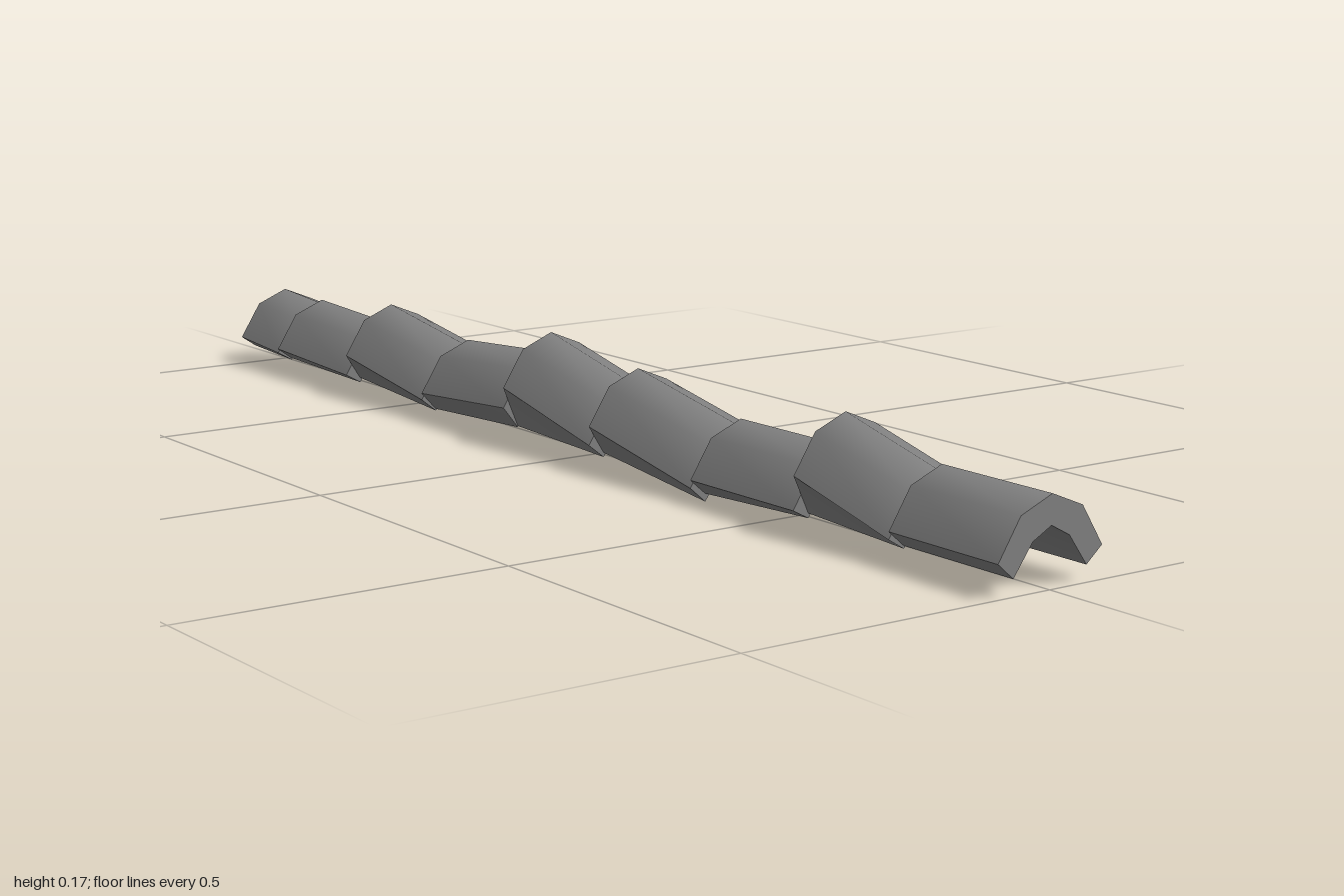
import * as THREE from 'three';

// Half profiles of the arched tile, listed from -x to +x
const OUTER = [[-0.091, 0.047], [-0.054, 0.105], [0, 0.127], [0.054, 0.105], [0.091, 0.047]];
const INNER = [[-0.064, 0.023], [-0.032, 0.067], [0, 0.084], [0.032, 0.067], [0.064, 0.023]];

// Each tile: z front, z back, crest height front/back, underside foot height front/back
const TILES = [
  [1.0, 0.79, 0.127, 0.127, 0.024, 0.024],
  [0.79, 0.59, 0.116, 0.165, 0.020, 0.029],
  [0.59, 0.355, 0.116, 0.115, 0.022, 0.012],
  [0.355, 0.1, 0.103, 0.150, 0.0, 0.027],
  [0.1, -0.135, 0.121, 0.172, 0.020, 0.028],
  [-0.135, -0.38, 0.140, 0.124, 0.026, 0.015],
  [-0.38, -0.625, 0.113, 0.150, 0.012, 0.029],
  [-0.625, -0.865, 0.116, 0.126, 0.021, 0.027],
  [-0.865, -1.0, 0.119, 0.128, 0.024, 0.030],
];

// Profile lifted to a given height and placed at z
const place = (profile, lift, z) => profile.map(([x, y]) => [x, y + lift, z]);

function tileGeometry([zf, zb, topF, topB, footF, footB]) {
  const of = place(OUTER, topF - 0.127, zf), ob = place(OUTER, topB - 0.127, zb);
  const nf = place(INNER, footF - 0.023, zf), nb = place(INNER, footB - 0.023, zb);
  const positions = [], index = [];

  // Surface between two rows; vertices are shared inside a strip so it shades smoothly
  const strip = (a, b) => {
    const s = positions.length / 3, n = a.length;
    [...a, ...b].forEach((p) => positions.push(...p));
    for (let i = 0; i < n - 1; i++) {
      index.push(s + i, s + i + 1, s + n + i + 1, s + i, s + n + i + 1, s + n + i);
    }
  };
  strip(of, ob);                          // arched outside
  strip(nb, nf);                          // hollow underside
  strip([of[4], nf[4]], [ob[4], nb[4]]);  // left foot
  strip([nf[0], of[0]], [nb[0], ob[0]]);  // right foot
  strip(nf, of);                          // front end
  strip(ob, nb);                          // back end

  const geometry = new THREE.BufferGeometry();
  geometry.setAttribute('position', new THREE.Float32BufferAttribute(positions, 3));
  geometry.setIndex(index);
  geometry.computeVertexNormals();
  return geometry;
}

export function createModel() {
  const model = new THREE.Group();
  model.name = 'ridgeTiles';
  const grey = new THREE.MeshStandardMaterial({ color: 0x808080 });
  grey.name = 'slateGrey';

  // Row of uneven tiles laid end to end
  TILES.forEach((tile, i) => {
    const mesh = new THREE.Mesh(tileGeometry(tile), grey);
    mesh.name = `ridgeTile${i + 1}`;
    model.add(mesh);
  });
  return model;
}
